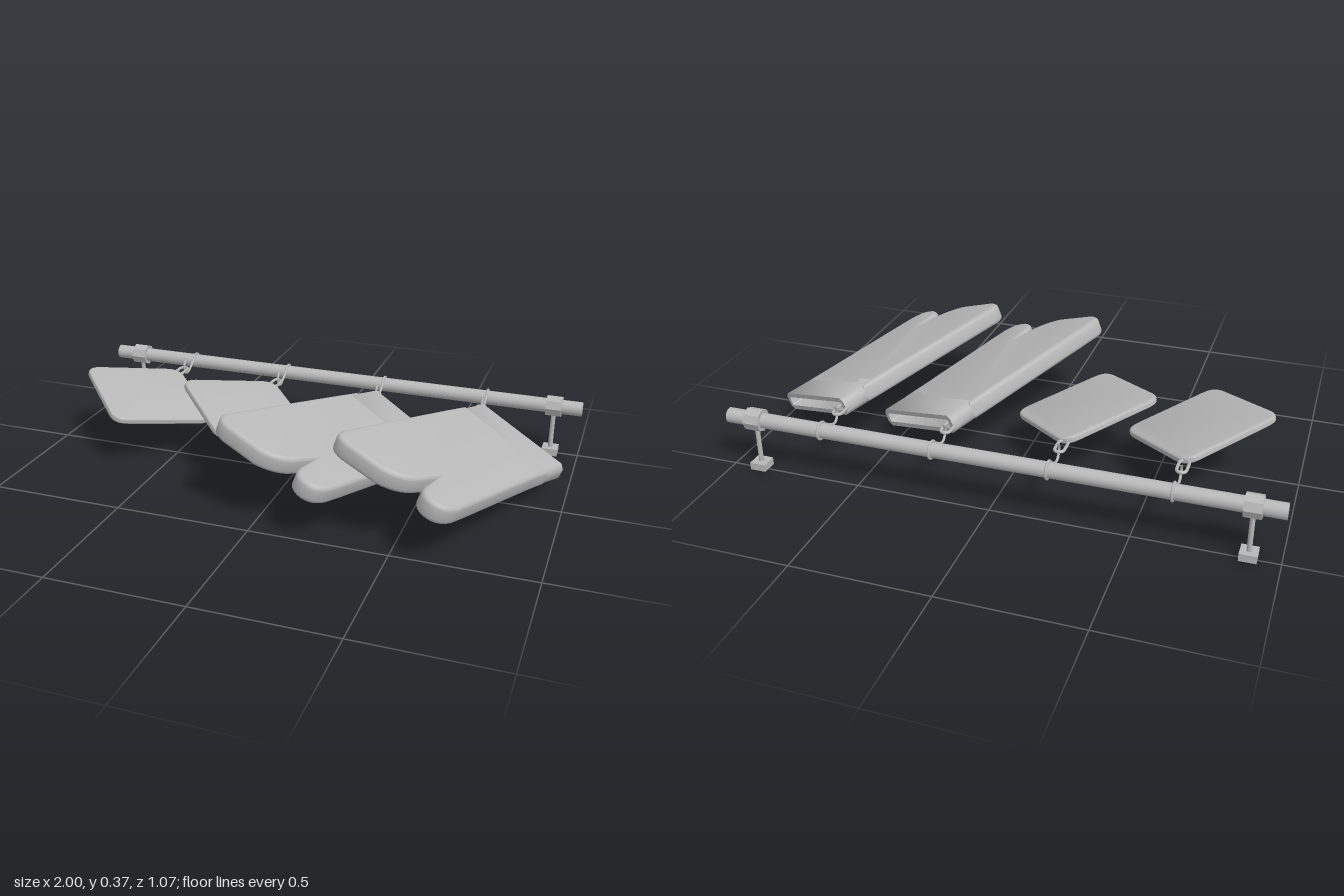
import * as THREE from 'three';
import { toCreasedNormals } from 'three/addons/utils/BufferGeometryUtils.js';

const grey = new THREE.MeshStandardMaterial({ color: 0xb8b8b8 });
grey.name = 'plain grey';

const ROD_Y = 0.2, ROD_Z = -0.493;

function part(name, geometry, x = 0, y = 0, z = 0) {
  const mesh = new THREE.Mesh(geometry, grey);
  mesh.name = name;
  mesh.position.set(x, y, z);
  return mesh;
}

// Flat padded slab: the outline lies in x/z, the thickness is centred on y
function paddedSlab(shape, thickness, bevel, inset) {
  const depth = thickness - 2 * bevel;
  const geo = new THREE.ExtrudeGeometry(shape, {
    depth, bevelEnabled: true, bevelThickness: bevel, bevelSize: inset,
    bevelOffset: -inset, bevelSegments: 3, curveSegments: 6,
  });
  geo.translate(0, 0, -depth / 2);
  geo.rotateX(Math.PI / 2);
  return toCreasedNormals(geo, 0.9);
}

function roundedRect(halfW, halfH, r) {
  const s = new THREE.Shape();
  s.moveTo(-halfW + r, -halfH);
  s.lineTo(halfW - r, -halfH);
  s.quadraticCurveTo(halfW, -halfH, halfW, -halfH + r);
  s.lineTo(halfW, halfH - r);
  s.quadraticCurveTo(halfW, halfH, halfW - r, halfH);
  s.lineTo(-halfW + r, halfH);
  s.quadraticCurveTo(-halfW, halfH, -halfW, halfH - r);
  s.lineTo(-halfW, -halfH + r);
  s.quadraticCurveTo(-halfW, -halfH, -halfW + r, -halfH);
  return s;
}

// Collar, post and foot that carry the rod
function createBracket(x) {
  const g = new THREE.Group();
  g.name = 'bracket';
  const collar = new THREE.CylinderGeometry(0.042, 0.042, 0.06, 8).rotateZ(Math.PI / 2);
  g.add(
    part('collar', toCreasedNormals(collar, 0.5), x, ROD_Y, ROD_Z),
    part('post', new THREE.CylinderGeometry(0.009, 0.009, 0.15, 10), x, 0.1, ROD_Z),
    part('foot', new THREE.BoxGeometry(0.06, 0.028, 0.06), x, 0.014, ROD_Z),
  );
  return g;
}

// Wire wrapped over the rod and bent into a hook, with a hanging link
function createHook(x) {
  const g = new THREE.Group();
  g.name = 'hook';
  const pts = [];
  for (let i = 0; i <= 9; i++) {
    const a = -Math.PI / 2 - (i / 9) * Math.PI * 1.35;
    pts.push(new THREE.Vector3(x, ROD_Y + 0.031 * Math.sin(a), ROD_Z + 0.031 * Math.cos(a)));
  }
  for (const [y, z] of [[0.18, -0.406], [0.183, -0.385], [0.215, -0.37], [0.24, -0.383]]) {
    pts.push(new THREE.Vector3(x, y, z));
  }
  const path = new THREE.CatmullRomCurve3(pts, false, 'centripetal');
  g.add(part('hookWire', new THREE.TubeGeometry(path, 60, 0.005, 8)));

  const loop = [];
  for (let i = 0; i < 12; i++) {
    const a = (i / 12) * Math.PI * 2;
    loop.push(new THREE.Vector3(0.017 * Math.cos(a), 0, 0.018 * Math.sin(a) + Math.sign(Math.round(Math.sin(a) * 10)) * 0.022));
  }
  const ring = new THREE.CatmullRomCurve3(loop, true);
  g.add(part('hangingLink', new THREE.TubeGeometry(ring, 36, 0.006, 8, true), x, 0.207, -0.343));
  return g;
}

// Square pad hung by one corner
function createPotHolder(x) {
  const pad = part('potHolder', paddedSlab(roundedRect(0.203, 0.203, 0.06), 0.026, 0.009, 0.012), x, 0.209, -0.045);
  pad.rotation.set(0, Math.PI / 4, -0.272, 'ZYX');
  return pad;
}

// Mitt with a hollow cuff; local x runs along the cuff, z towards the fingertips
function createMitt(x) {
  const g = new THREE.Group();
  g.name = 'ovenMitt';
  const W = 0.42, T = 0.07, B = 0.016;

  const s = new THREE.Shape();
  s.moveTo(0, 0.1);
  s.lineTo(W, 0.1);
  s.lineTo(W + 0.004, 0.2);
  s.lineTo(0.452, 0.62);
  s.lineTo(0.455, 0.69);
  s.quadraticCurveTo(0.45, 0.75, 0.405, 0.763);
  s.quadraticCurveTo(0.345, 0.775, 0.322, 0.715);
  s.lineTo(0.303, 0.615);
  s.lineTo(0.292, 0.69);
  s.quadraticCurveTo(0.28, 0.765, 0.205, 0.803);
  s.lineTo(0.06, 0.83);
  s.quadraticCurveTo(-0.005, 0.835, -0.012, 0.775);
  s.lineTo(-0.003, 0.2);
  s.closePath();
  g.add(part('mittBody', paddedSlab(s, T, B, 0.016)));

  // Cuff sleeve with an open slot
  const c = new THREE.Shape();
  const w = W / 2, h = T / 2;
  [[-w + B, -h], [w - B, -h], [w, -h + B], [w, h - B], [w - B, h], [-w + B, h], [-w, h - B], [-w, -h + B]]
    .forEach(([px, py], i) => (i ? c.lineTo(px, py) : c.moveTo(px, py)));
  c.closePath();
  const wall = 0.017;
  c.holes.push(new THREE.Path(roundedRect(w - wall, h - wall, 0.008).getPoints(3).reverse()));
  const cuff = new THREE.ExtrudeGeometry(c, { depth: 0.15, bevelEnabled: false });
  g.add(part('mittCuff', toCreasedNormals(cuff, 0.9), w, 0, 0));

  g.position.set(x, 0.212, -0.328);
  g.rotation.set(0, -0.467, -0.353, 'ZYX');
  return g;
}

export function createModel() {
  const model = new THREE.Group();
  model.name = 'kitchenTextileRail';

  const rod = new THREE.CylinderGeometry(0.028, 0.028, 2, 20).rotateZ(Math.PI / 2);
  model.add(part('rod', rod, 0, ROD_Y, ROD_Z));
  for (const side of [-1, 1]) model.add(createBracket(side * 0.893));

  for (const x of [-0.635, -0.212, 0.207, 0.63]) model.add(createHook(x));
  for (const x of [-0.64, -0.218]) model.add(createPotHolder(x));
  for (const x of [0.197, 0.62]) model.add(createMitt(x));
  return model;
}
